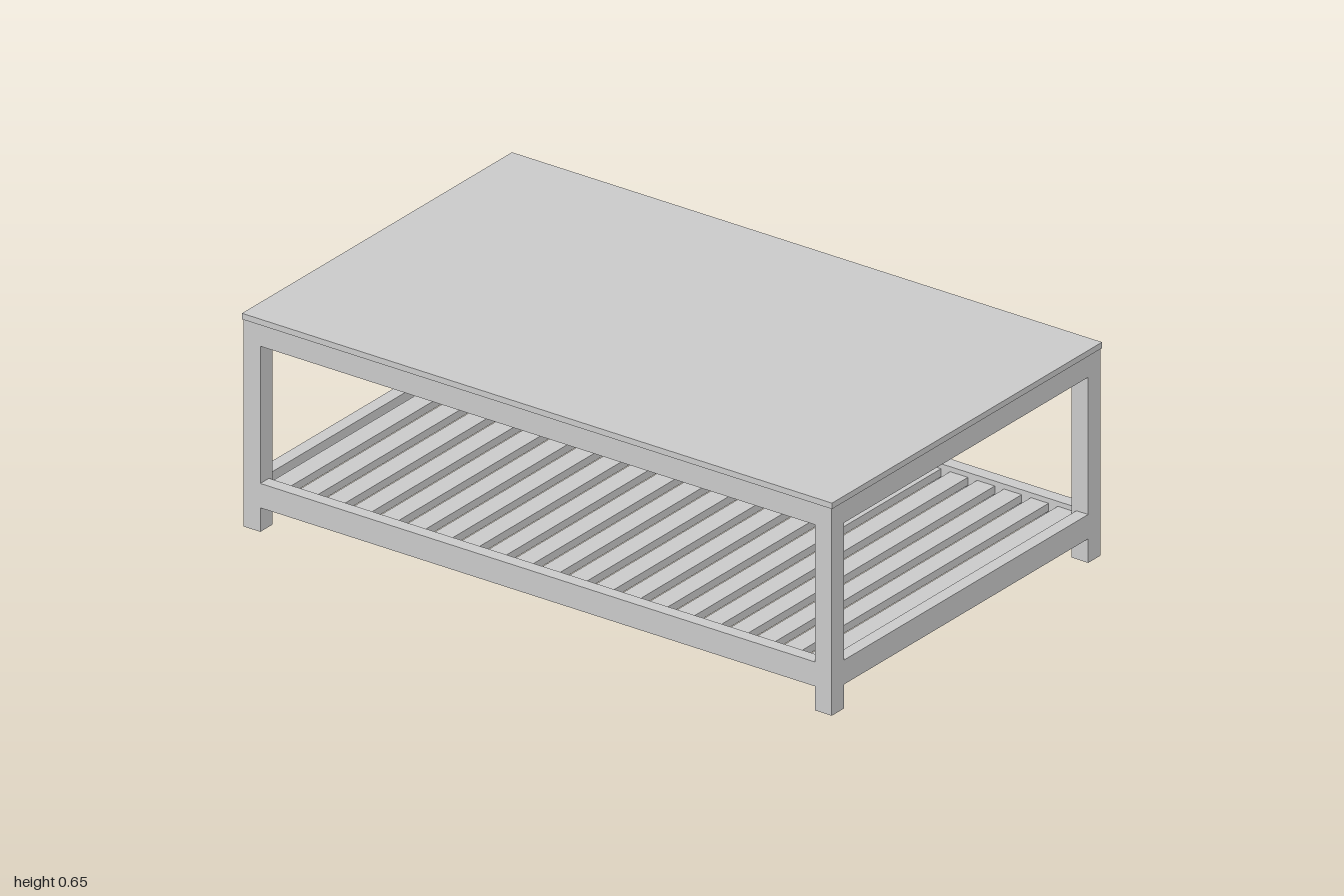
import * as THREE from 'three';

const W = 1.246, L = 2, H = 0.648;
const LEG = 0.057, INSET = 0.003, TOP = 0.018;

export function createModel() {
  const table = new THREE.Group();
  table.name = 'coffeeTable';
  const material = new THREE.MeshStandardMaterial({ color: 0xcccccc, flatShading: true });

  // Box placed by its centre in x and z and by its lower and upper heights
  const box = (name, w, d, y0, y1, x, z) => {
    const mesh = new THREE.Mesh(new THREE.BoxGeometry(w, y1 - y0, d), material);
    mesh.position.set(x, (y0 + y1) / 2, z);
    mesh.name = name;
    table.add(mesh);
  };

  // Table top
  const under = H - TOP;
  box('tableTop', W, L, under, H, 0, 0);

  // Legs
  const legX = W / 2 - INSET - LEG / 2;
  const legZ = L / 2 - INSET - LEG / 2;
  for (const sx of [-1, 1]) {
    for (const sz of [-1, 1]) box('leg', LEG, LEG, 0, under, sx * legX, sz * legZ);
  }

  // Aprons under the top and rails around the shelf, flush with the legs outside
  const innerW = 2 * legX - LEG, innerL = 2 * legZ - LEG;
  const thick = 0.04;
  const railX = W / 2 - INSET - thick / 2;
  const railZ = L / 2 - INSET - thick / 2;
  for (const s of [-1, 1]) {
    for (const [name, y0, y1] of [['apron', 0.564, under], ['shelfRail', 0.073, 0.147]]) {
      box(name, innerW, thick, y0, y1, 0, s * railZ);
      box(name, thick, innerL, y0, y1, s * railX, 0);
    }
  }

  // Shelf slats running across between the long rails
  const count = 21;
  const slatSpan = 2 * railX - thick;
  const pitch = (2 * railZ - thick) / count;
  for (let i = 0; i < count; i++) {
    box('shelfSlat', slatSpan, pitch * 0.66, 0.108, 0.132, 0, (i - (count - 1) / 2) * pitch);
  }
  return table;
}
